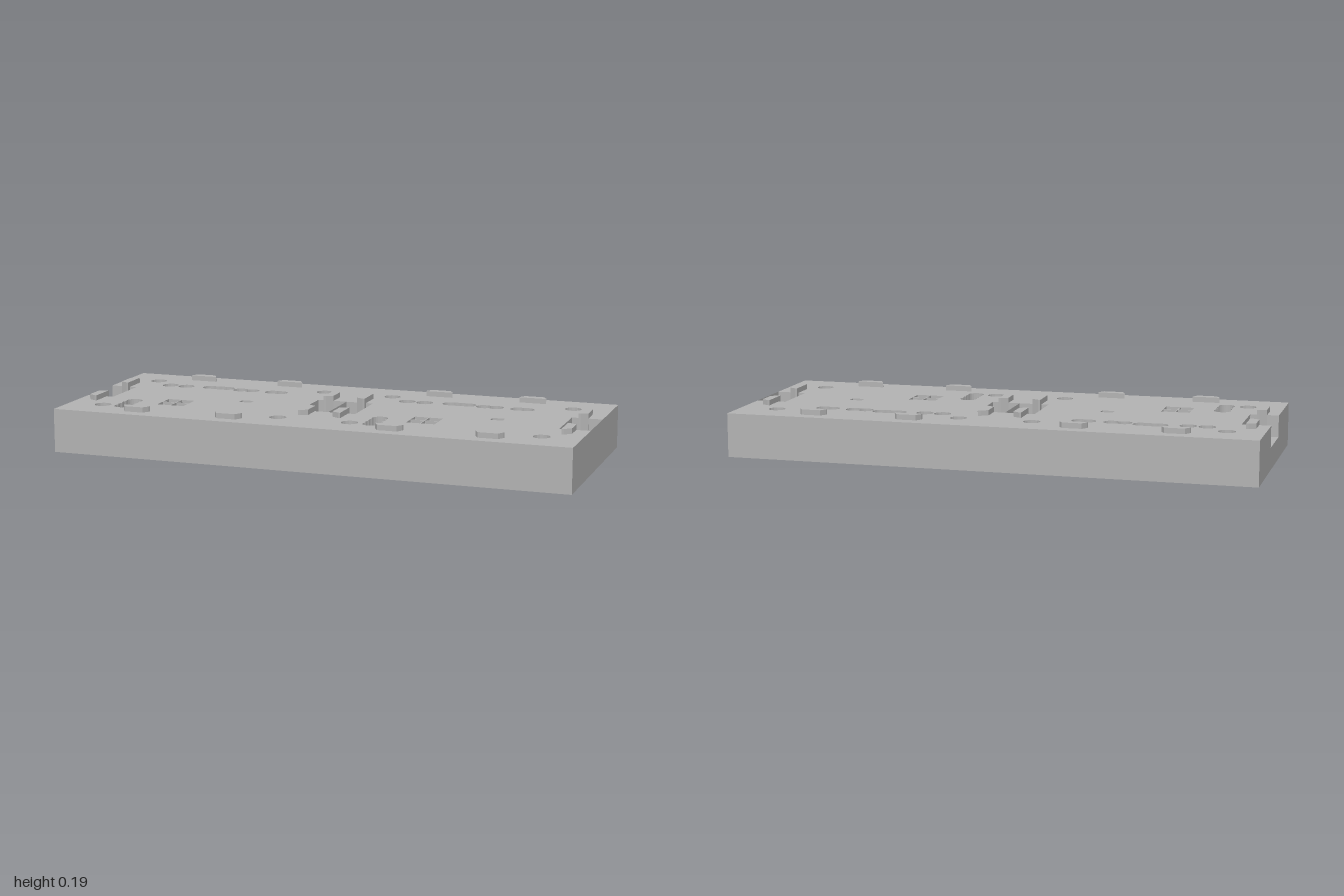
import * as THREE from 'three';

const TOP = 0.167, FLOOR = 0.085, BUMP_TOP = 0.187;
const HALF_DEPTH = 0.395, NOTCH = 0.105;

// Outlines are given in (x, z); extrusion runs upwards from y0 to y1.
const toShape = (pts, Type = THREE.Shape) => new Type(pts.map(([x, z]) => new THREE.Vector2(x, -z)));
function extrudeUp(shape, y0, y1) {
  const g = new THREE.ExtrudeGeometry(shape, { depth: y1 - y0, bevelEnabled: false });
  g.rotateX(-Math.PI / 2);
  g.translate(0, y0, 0);
  return g;
}

const rect = (x0, x1, z0, z1) => [[x0, z0], [x1, z0], [x1, z1], [x0, z1]];

// Scalloped outline around n overlapping drill holes in a row
function drillRow(x, z, r, n = 1, step = 0, alongZ = false) {
  const pts = [];
  const a = n > 1 ? Math.acos(step / 2 / r) : 0;
  const arc = (i, from, to) => {
    const seg = 8;
    for (let k = 0; k < seg; k++) {
      const t = from + (to - from) * k / seg;
      const u = i * step + r * Math.cos(t), v = r * Math.sin(t);
      pts.push(alongZ ? [x + v, z + u] : [x + u, z + v]);
    }
  };
  for (let i = 0; i < n; i++) arc(i, i === 0 ? Math.PI : Math.PI - a, i === n - 1 ? 0 : a);
  for (let i = n - 1; i >= 0; i--) arc(i, i === n - 1 ? 0 : -a, i === 0 ? -Math.PI : -Math.PI + a);
  return pts;
}

export function createModel() {
  const group = new THREE.Group();
  const grey = new THREE.MeshStandardMaterial({ color: 0xb2b2b2 });
  const greyThin = grey;
  greyThin.side = THREE.DoubleSide;
  const add = (geometry, name) => {
    const mesh = new THREE.Mesh(geometry, grey);
    mesh.name = name;
    group.add(mesh);
    return mesh;
  };

  // Solid lower slab
  const base = new THREE.BoxGeometry(2, FLOOR, HALF_DEPTH * 2);
  base.translate(0, FLOOR / 2, 0);
  add(base, 'lowerSlab');

  // Upper layer, with end notches in the outline and pockets as holes
  const D = HALF_DEPTH;
  const plate = toShape([
    [-1, -D], [1, -D], [1, -NOTCH], [0.885, -NOTCH], [0.885, NOTCH], [1, NOTCH],
    [1, D], [-1, D], [-1, NOTCH], [-0.893, NOTCH], [-0.893, -NOTCH], [-1, -NOTCH],
  ]);
  const cut = (pts) => plate.holes.push(toShape(pts, THREE.Path));
  cut(rect(-0.115, 0.107, -NOTCH, NOTCH));

  for (const ox of [0, 1]) {
    // Corner drill holes
    for (const x of [-0.863, -0.144]) for (const z of [-0.257, 0.255]) cut(drillRow(ox + x, z, 0.032));
    // Single and chained drill holes
    cut(drillRow(ox - 0.781, -0.189, 0.032));
    cut(drillRow(ox - 0.711, -0.189, 0.032));
    cut(drillRow(ox - 0.611, -0.2, 0.03, 4, 0.024));
    cut(drillRow(ox - 0.475, -0.189, 0.03, 2, 0.047));
    cut(drillRow(ox - 0.34, -0.189, 0.03, 2, 0.032));
    cut(drillRow(ox - 0.781, 0.148, 0.031, 4, 0.035, true));
    // Four-square pocket and small pocket
    for (const x of [-0.668, -0.612]) for (const z of [0.075, 0.131]) {
      cut(rect(ox + x, ox + x + 0.052, z, z + 0.052));
    }
    cut(rect(ox - 0.39, ox - 0.342, 0.001, 0.037));
  }
  add(extrudeUp(plate, FLOOR, TOP), 'upperPlate');

  for (const ox of [0, 1]) {
    // Thin wall closing the notch on one end of each half
    const wall = new THREE.PlaneGeometry(NOTCH * 2, TOP - FLOOR);
    wall.rotateY(Math.PI / 2);
    wall.translate(ox, (TOP + FLOOR) / 2, 0);
    add(wall, 'notchWall');

    // Tapered ridges along the long edges
    for (const x of [-0.69, -0.316]) for (const s of [-1, 1]) {
      const c = ox + x, zi = 0.316 * s, zo = 0.347 * s;
      add(extrudeUp(toShape([
        [c - 0.053, zi], [c + 0.053, zi], [c + 0.051, zi + 0.008 * s], [c + 0.037, zo],
        [c - 0.037, zo], [c - 0.051, zi + 0.008 * s],
      ]), TOP, BUMP_TOP), 'edgeRidge');
    }

    // Tapered ridges beside the notches, standing on the notch floor
    for (const [xi, xo] of [[-0.921, -0.956], [-0.087, -0.053]]) for (const s of [-1, 1]) {
      add(extrudeUp(toShape([
        [ox + xi, 0.086 * s], [ox + xi, 0.195 * s], [ox + xi + (xo - xi) * 0.25, 0.193 * s],
        [ox + xo, 0.178 * s], [ox + xo, 0.102 * s], [ox + xi + (xo - xi) * 0.25, 0.088 * s],
      ]), FLOOR, BUMP_TOP), 'notchRidge');
    }
  }
  return group;
}
